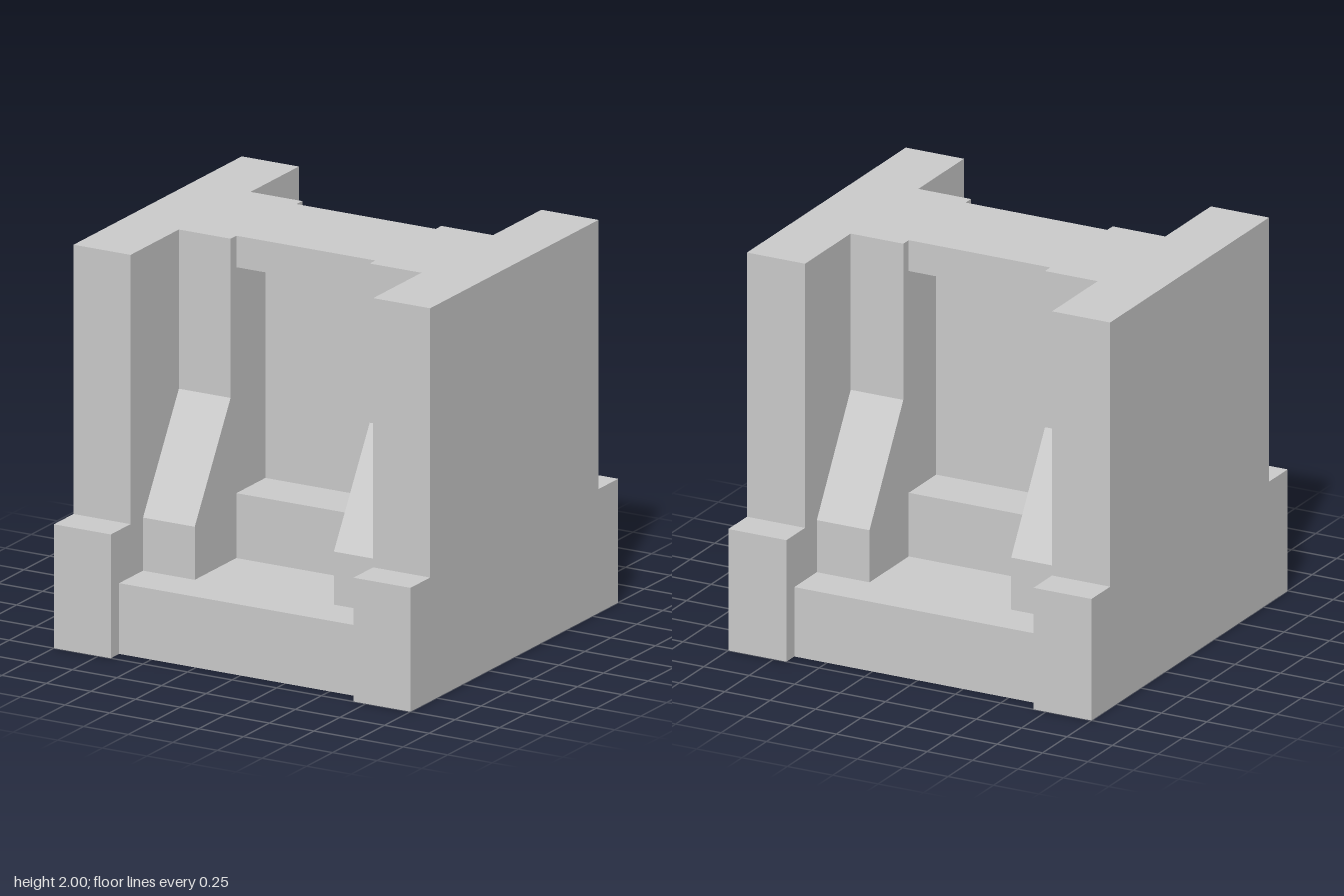
import * as THREE from 'three';

const material = new THREE.MeshStandardMaterial({ color: 0xcccccc, flatShading: true });

// Extrudes a front/back symmetric profile, given as [z, y] for its +z half, from x0 to x1
function slab(name, half, x0, x1) {
  const mirrored = half.map(([z, y]) => [-z, y]).reverse();
  const points = [...half, ...mirrored].map(([z, y]) => new THREE.Vector2(z, y));
  const geometry = new THREE.ExtrudeGeometry(new THREE.Shape(points), { depth: x1 - x0, bevelEnabled: false });
  geometry.rotateY(-Math.PI / 2);
  geometry.translate(x1, 0, 0);
  const mesh = new THREE.Mesh(geometry, material);
  mesh.name = name;
  return mesh;
}

// Box given by its limits on each axis
function block(name, [x0, x1], [y0, y1], [z0, z1]) {
  const mesh = new THREE.Mesh(new THREE.BoxGeometry(x1 - x0, y1 - y0, z1 - z0), material);
  mesh.position.set((x0 + x1) / 2, (y0 + y1) / 2, (z0 + z1) / 2);
  mesh.name = name;
  return mesh;
}

export function createModel() {
  const group = new THREE.Group();
  group.name = 'wallBlock';
  const outer = 0.68, inner = 0.39;

  // Side walls with feet, and sloped buttresses against them
  const wall = [[1, 0], [1, 0.63], [0.81, 0.63], [0.81, 2]];
  const buttress = [[0.69, 0.36], [0.69, 0.63], [0.345, 1.19], [0.345, 2]];
  group.add(
    slab('leftWall', wall, outer, 1),
    slab('rightWall', wall, -1, -outer),
    slab('leftButtress', buttress, inner, outer),
    slab('rightButtress', buttress, -outer, -inner),
  );

  // Floor, raised sill, thin centre panel and roof
  const span = [-inner, inner];
  group.add(
    block('floor', [-outer, outer], [0, 0.36], [-0.92, 0.92]),
    block('sill', span, [0.36, 0.69], [-0.29, 0.29]),
    block('centrePanel', span, [0.69, 1.98], [-0.01, 0.01]),
    block('roof', span, [1.98, 2], [-0.29, 0.29]),
  );

  // Lintel rims hanging from the roof on both faces
  group.add(
    block('frontLintel', span, [1.84, 1.98], [0.19, 0.29]),
    block('backLintel', span, [1.84, 1.98], [-0.29, -0.19]),
  );
  return group;
}
